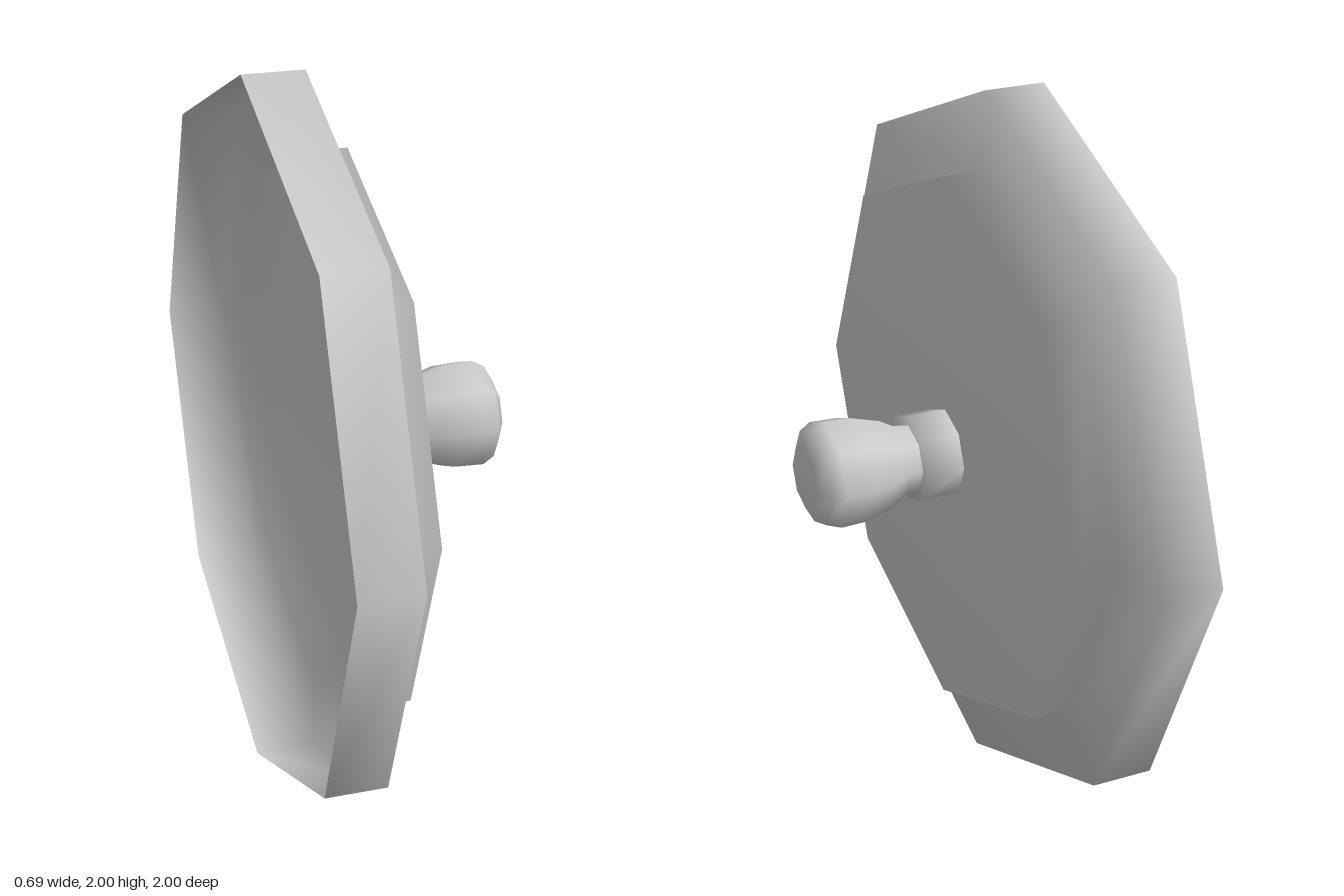
import * as THREE from 'three';

// Eight-sided smooth turned part around the x axis; profile is [x, radius] from back to front
function turned(name, profile, y, side = THREE.FrontSide) {
  const points = profile.map(([x, r]) => new THREE.Vector2(r, x));
  const geometry = new THREE.LatheGeometry(points, 8).rotateZ(-Math.PI / 2);
  const material = new THREE.MeshStandardMaterial({ color: 0xcccccc, side });
  const mesh = new THREE.Mesh(geometry, material);
  mesh.name = name;
  mesh.position.y = y;
  return mesh;
}

export function createModel() {
  const model = new THREE.Group();
  model.name = 'steppedLidWithKnob';

  // Thin stepped lid, open at the back
  model.add(turned('lid', [
    [-0.35, 1], [-0.18, 1], [-0.18, 0.785], [-0.07, 0.785], [-0.07, 0],
  ], 1, THREE.DoubleSide));

  // Short collar under the knob
  model.add(turned('knobCollar', [
    [-0.07, 0.125], [0.04, 0.125], [0.04, 0],
  ], 0.99, THREE.DoubleSide));

  // Flared knob with a flat end
  model.add(turned('knob', [
    [0.03, 0.097], [0.08, 0.102], [0.125, 0.128], [0.205, 0.152],
    [0.285, 0.155], [0.32, 0.135], [0.345, 0.09], [0.345, 0],
  ], 0.99));

  return model;
}
